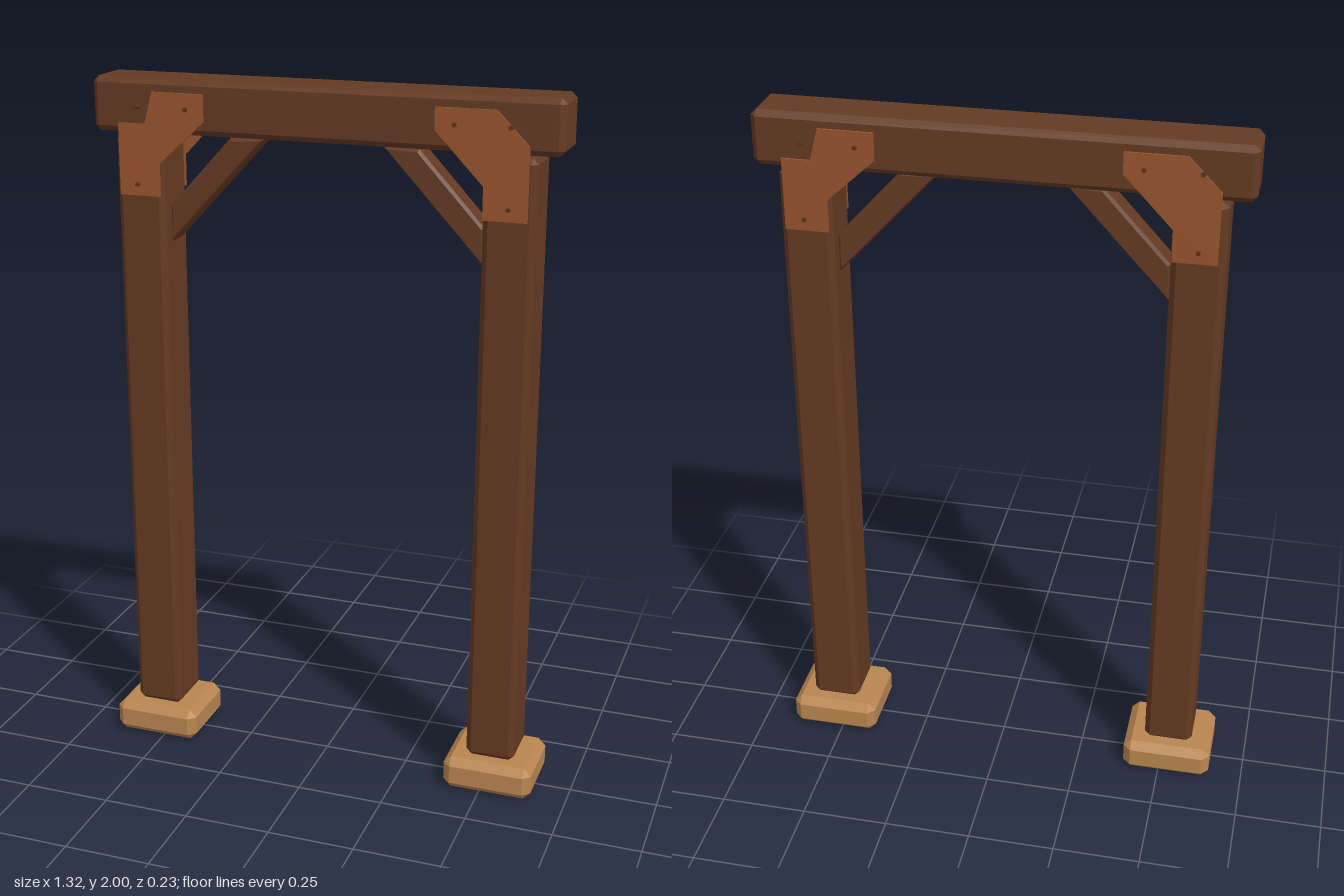
import * as THREE from 'three';
import { ConvexGeometry } from 'three/addons/geometries/ConvexGeometry.js';

const mat = (name, color) => {
  const m = new THREE.MeshStandardMaterial({ color });
  m.name = name;
  return m;
};

// Box between two corners with every edge chamfered by c
function chamferBox(min, max, c) {
  const points = [];
  for (let i = 0; i < 8; i++) {
    const side = [i & 1, (i >> 1) & 1, (i >> 2) & 1];
    for (let keep = 0; keep < 3; keep++) {
      const p = side.map((s, a) => (s ? max[a] : min[a]) + (a === keep ? 0 : s ? -c : c));
      points.push(new THREE.Vector3(...p));
    }
  }
  return new ConvexGeometry(points);
}

const outline = (pts) => new THREE.Shape(pts.map(([x, y]) => new THREE.Vector2(x, y)));

export function createModel() {
  const model = new THREE.Group();
  model.name = 'timberGate';

  const darkWood = mat('dark wood', 0x643a23);
  const paleWood = mat('pale wood', 0xb98550);
  const copper = mat('copper plate', 0x98552d);
  const boltMetal = mat('bolt', 0x5c321b);

  const add = (parent, name, geometry, material) => {
    const mesh = new THREE.Mesh(geometry, material);
    mesh.name = name;
    parent.add(mesh);
    return mesh;
  };

  // Crossbeam
  add(model, 'crossbeam', chamferBox([-0.66, 1.85, -0.08], [0.66, 2, 0.073], 0.016), darkWood);

  // Post, foot and diagonal brace on each side
  for (const s of [-1, 1]) {
    const side = s > 0 ? 'left' : 'right';
    const x = s * 0.522;
    add(model, side + 'Post', chamferBox([x - 0.071, 0.1, -0.078], [x + 0.071, 1.845, 0.078], 0.016), darkWood);
    add(model, side + 'Foot', chamferBox([x - 0.13, 0, -0.117], [x + 0.13, 0.098, 0.115], 0.022), paleWood);

    const pts = [[0.17, 1.845], [0.267, 1.845], [0.449, 1.648], [0.449, 1.545]].map(([px, y]) => [s * px, y]);
    const brace = new THREE.ExtrudeGeometry(outline(pts), {
      depth: 0.064, bevelEnabled: true, bevelThickness: 0.008, bevelSize: 0.008, bevelOffset: -0.008, bevelSegments: 1,
    });
    brace.translate(0, 0, -0.032);
    add(model, side + 'Brace', brace, darkWood);
  }

  // Corner plates: one notched, one chamfered; the back pair is the front pair turned half round
  const notched = [[-0.577, 1.68], [-0.458, 1.68], [-0.458, 1.77], [-0.325, 1.89], [-0.325, 1.966],
    [-0.474, 1.966], [-0.498, 1.878], [-0.577, 1.878]];
  const chamfered = [[0.574, 1.68], [0.574, 1.876], [0.485, 1.966], [0.322, 1.966], [0.322, 1.907],
    [0.455, 1.768], [0.455, 1.68]];
  for (const face of ['front', 'back']) {
    const set = new THREE.Group();
    set.name = face + 'Brackets';
    if (face === 'back') set.rotation.y = Math.PI;
    for (const pts of [notched, chamfered]) {
      const plate = new THREE.ExtrudeGeometry(outline(pts), { depth: 0.006, bevelEnabled: false });
      plate.translate(0, 0, 0.082);
      add(set, 'cornerPlate', plate, copper);
    }
    for (const s of [-1, 1]) {
      for (const [x, y] of [[0.523, 1.923], [0.375, 1.923], [0.523, 1.712]]) {
        const bolt = new THREE.CylinderGeometry(0.006, 0.008, 0.026, 6);
        bolt.rotateX(Math.PI / 2);
        add(set, 'bolt', bolt, boltMetal).position.set(s * x, y, 0.083);
      }
    }
    model.add(set);
  }
  return model;
}
